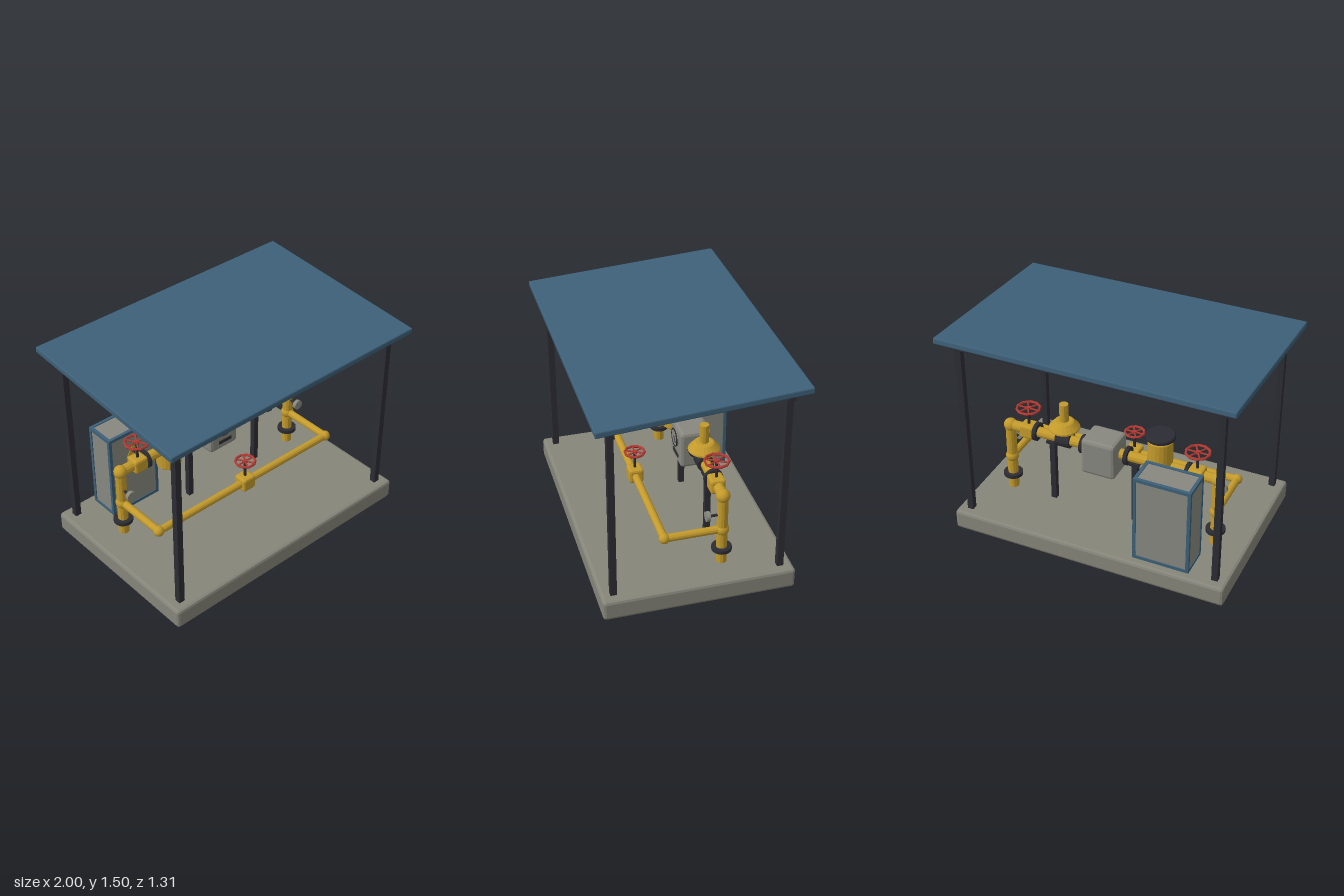
import * as THREE from 'three';
import { RoundedBoxGeometry } from 'three/addons/geometries/RoundedBoxGeometry.js';

const mat = (name, color) => {
  const m = new THREE.MeshStandardMaterial({ color });
  m.name = name;
  return m;
};

// Facet a geometry so that it shades flat
const flat = (g) => {
  const f = g.index ? g.toNonIndexed() : g;
  f.computeVertexNormals();
  return f;
};

export function createModel() {
  const model = new THREE.Group();
  model.name = 'gasRegulatingStation';
  const yellow = mat('pipe yellow', 0xc39a2b);
  const blue = mat('roof blue', 0x3d6078);
  const concrete = mat('concrete grey', 0x85857a);
  const panel = mat('panel grey', 0x888880);
  const dark = mat('dark steel', 0x2c2c34);
  const red = mat('handwheel red', 0xb03a32);

  const add = (name, geo, material, x, y, z, parent = model) => {
    const m = new THREE.Mesh(geo, material);
    m.name = name;
    m.position.set(x, y, z);
    parent.add(m);
    return m;
  };
  const box = (name, m, w, h, d, x, y, z, parent) =>
    add(name, new THREE.BoxGeometry(w, h, d), m, x, y, z, parent);
  const bevelBox = (name, m, w, h, d, r, x, y, z, parent) =>
    add(name, flat(new RoundedBoxGeometry(w, h, d, 1, r)), m, x, y, z, parent);
  const ball = (name, m, r, x, y, z, parent) =>
    add(name, new THREE.SphereGeometry(r, 16, 12), m, x, y, z, parent);

  // Straight cylinder centred at a point along the given axis
  const rod = (name, m, axis, r, len, x, y, z, parent, sides = 12) => {
    const g = flat(new THREE.CylinderGeometry(r, r, len, sides));
    if (axis === 'x') g.rotateZ(-Math.PI / 2);
    if (axis === 'z') g.rotateX(Math.PI / 2);
    return add(name, g, m, x, y, z, parent);
  };
  const lathe = (name, m, pts, x, y, z, sides = 20) =>
    add(name, flat(new THREE.LatheGeometry(pts.map((p) => new THREE.Vector2(...p)), sides)), m, x, y, z);

  // Foundation slab
  bevelBox('foundationSlab', concrete, 1.94, 0.14, 1.26, 0.02, 0, 0.07, 0);

  // Shelter: sloped roof on four posts and two beams
  const roof = bevelBox('roof', blue, 2, 0.042, 1.315, 0.008, 0, 1.434, 0);
  roof.rotation.x = 0.067;
  for (const [z, top] of [[0.548, 1.375], [-0.545, 1.448]]) {
    for (const s of [-1, 1])
      box('shelterPost', dark, 0.042, top - 0.16, 0.042, s * 0.885, (top + 0.12) / 2, z);
    box('roofBeam', dark, 1.88, 0.062, 0.042, 0, top - 0.031, z);
  }

  // Main pipe run
  const PY = 0.645, PZ = -0.2, PX = 0.748;
  rod('mainPipe', yellow, 'x', 0.036, PX * 2, 0, PY, PZ);

  // Risers, elbows, bypass arms and gauges on both sides
  for (const s of [-1, 1]) {
    const x = s * PX;
    rod('riser', yellow, 'y', 0.036, 0.515, x, 0.3875, PZ);
    ball('elbow', yellow, 0.046, x, PY, PZ);
    ball('bypassTee', yellow, 0.045, x, 0.39, PZ);
    rod('riserFlange', dark, 'y', 0.066, 0.025, x, 0.245, PZ, model, 20);
    rod('bypassArm', yellow, 'z', 0.026, 0.38, x, 0.39, -0.01);
    ball('bypassElbow', yellow, 0.036, x, 0.39, 0.18);
    rod('gaugeStem', dark, 'z', 0.009, 0.08, x, 0.505, -0.145, model, 8);
    rod('gauge', panel, 'z', 0.034, 0.026, x, 0.505, -0.102, model, 16);
  }
  rod('bypassPipe', yellow, 'x', 0.026, PX * 2, 0, 0.39, 0.18);

  // Flanges along the main pipe
  for (const x of [-0.545, -0.12, 0.198, 0.545])
    rod('pipeFlange', dark, 'x', 0.064, 0.025, x, PY, PZ, model, 20);

  // Valve with stem and spoked handwheel
  const valve = (x, y, z, wheelR) => {
    const g = new THREE.Group();
    g.name = 'valve';
    g.position.set(x, y, z);
    model.add(g);
    bevelBox('valveBody', yellow, 0.105, 0.1, 0.1, 0.016, 0, 0, 0, g);
    rod('valveStem', dark, 'y', 0.01, 0.13, 0, 0.11, 0, g, 8);
    const rim = flat(new THREE.TorusGeometry(wheelR - 0.009, 0.009, 6, 10));
    rim.rotateX(Math.PI / 2);
    add('handwheelRim', rim, red, 0, 0.17, 0, g);
    rod('handwheelHub', red, 'y', 0.016, 0.018, 0, 0.17, 0, g, 10);
    for (let i = 0; i < 3; i++) {
      const spoke = rod('handwheelSpoke', red, 'x', 0.006, (wheelR - 0.009) * 2, 0, 0.17, 0, g, 6);
      spoke.rotation.y = (i * Math.PI) / 3;
    }
  };
  valve(-0.605, PY, PZ, 0.088);
  valve(0.605, PY, PZ, 0.088);
  valve(0, 0.39, 0.175, 0.076);

  // Filter vessel with bolted cap
  lathe('filterVessel', yellow,
    [[0, 0.5], [0.073, 0.5], [0.084, 0.512], [0.084, 0.835], [0.074, 0.846], [0.065, 0.856], [0, 0.856]],
    -0.348, 0, PZ);
  lathe('filterCap', dark,
    [[0, 0.85], [0.09, 0.85], [0.098, 0.857], [0.098, 0.876], [0.09, 0.884], [0, 0.884]],
    -0.348, 0, PZ);

  // Pressure regulator
  rod('regulatorBody', dark, 'x', 0.056, 0.1, 0.34, PY, PZ, model, 16);
  rod('regulatorNeck', dark, 'y', 0.028, 0.06, 0.34, 0.705, PZ);
  lathe('regulatorDiaphragm', yellow,
    [[0, 0.724], [0.094, 0.724], [0.106, 0.735], [0.104, 0.745], [0.066, 0.788], [0.055, 0.792], [0, 0.792]],
    0.34, 0, PZ);
  rod('regulatorSpringHousing', yellow, 'y', 0.031, 0.13, 0.34, 0.855, PZ);

  // Gas meter with dial and counter
  bevelBox('meterBody', panel, 0.24, 0.262, 0.21, 0.022, 0.053, 0.62, -0.2);
  rod('meterDial', panel, 'z', 0.062, 0.016, 0.053, 0.664, -0.092, model, 24);
  add('meterDialRim', new THREE.TorusGeometry(0.06, 0.004, 6, 24), dark, 0.053, 0.664, -0.084);
  const needle = box('meterNeedle', dark, 0.006, 0.05, 0.004, 0.065, 0.655, -0.083);
  needle.rotation.z = 0.75;
  box('meterCounter', dark, 0.11, 0.025, 0.008, 0.058, 0.55, -0.094);

  // Pipe supports
  for (const x of [-0.175, 0.427]) {
    box('pipeSupport', dark, 0.038, 0.46, 0.038, x, 0.365, PZ);
    box('supportSaddle', dark, 0.07, 0.02, 0.07, x, 0.603, PZ);
  }

  // Control cabinet: grey box in a blue edge frame
  const cab = new THREE.Group();
  cab.name = 'controlCabinet';
  cab.position.set(-0.516, 0.458, -0.467);
  model.add(cab);
  const W = 0.39, H = 0.632, D = 0.215, T = 0.022;
  box('cabinetBody', panel, W - 0.012, H - 0.012, D - 0.012, 0, 0, 0, cab);
  for (const a of [-1, 1])
    for (const b of [-1, 1]) {
      const ex = (W - T) / 2, ey = (H - T) / 2, ez = (D - T) / 2;
      box('cabinetFrameSide', blue, T, H, T, a * ex, 0, b * ez, cab);
      box('cabinetFrameRail', blue, W - 2 * T, T, T, 0, a * ey, b * ez, cab);
      box('cabinetFrameDepth', blue, T, T, D - 2 * T, a * ex, b * ey, 0, cab);
    }
  // Warning triangle with a small bolt mark
  const plate = (name, pts, m, z) => {
    const shape = new THREE.Shape(pts.map((p) => new THREE.Vector2(...p)));
    add(name, new THREE.ExtrudeGeometry(shape, { depth: 0.004, bevelEnabled: false }), m, 0, 0.105, z, cab);
  };
  plate('warningTriangle', [[-0.056, 0], [0.056, 0], [0, 0.098]], yellow, D / 2 - 0.006);
  plate('warningMark', [[0.002, 0.01], [0.014, 0.042], [0.003, 0.04], [0.008, 0.064], [-0.012, 0.034], [0, 0.035]],
    dark, D / 2 - 0.001);

  return model;
}
